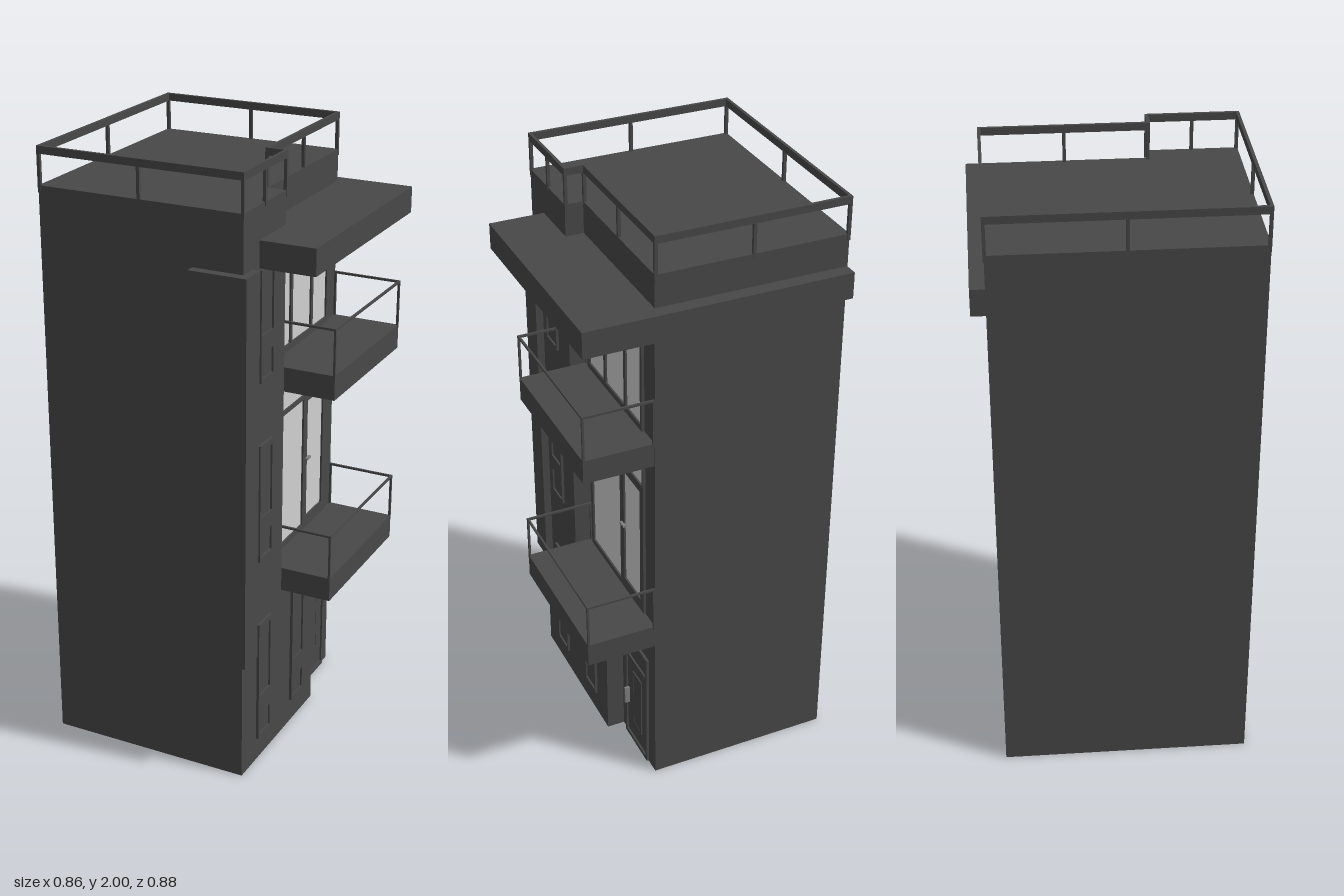
import * as THREE from 'three';

const mat = (name, color, side = THREE.FrontSide) => {
  const m = new THREE.MeshStandardMaterial({ color, side });
  m.name = name;
  return m;
};

export function createModel() {
  const wall = mat('charcoal wall', 0x484848);
  const glass = mat('pale glass', 0xd0d0d0);
  const metal = mat('grey handle metal', 0x808080);
  const model = new THREE.Group();
  model.name = 'towerHouse';

  const add = (parent, name, geo, material) => {
    const m = new THREE.Mesh(geo, material);
    m.name = name;
    parent.add(m);
    return m;
  };
  const group = (name) => {
    const g = new THREE.Group();
    g.name = name;
    model.add(g);
    return g;
  };
  // Box given by its limits on each axis
  const box = (parent, name, [x0, x1], [y0, y1], [z0, z1], material = wall) =>
    add(parent, name, new THREE.BoxGeometry(x1 - x0, y1 - y0, z1 - z0), material)
      .position.set((x0 + x1) / 2, (y0 + y1) / 2, (z0 + z1) / 2);
  // Square or flat bar between two points
  const bar = (parent, name, a, b, w, h) => {
    const p = new THREE.Vector3(...a), q = new THREE.Vector3(...b);
    const m = add(parent, name, new THREE.BoxGeometry(w, h, p.distanceTo(q) + w), wall);
    m.position.copy(p).lerp(q, 0.5);
    m.lookAt(q);
  };

  // Storeys: floor plan with a notch at the back of the left side
  const storey = (name, y0, y1, notchZ) => {
    const plan = [[-0.43, 0.41], [0.25, 0.41], [0.25, notchZ], [0.19, notchZ], [0.19, -0.395], [-0.43, -0.395]];
    const shape = new THREE.Shape(plan.map(([x, z]) => new THREE.Vector2(x, -z)));
    const geo = new THREE.ExtrudeGeometry(shape, { depth: y1 - y0, bevelEnabled: false });
    geo.rotateX(-Math.PI / 2);
    add(model, name, geo, wall).position.y = y0;
  };
  storey('groundStorey', 0, 0.56, -0.13);
  storey('upperStoreys', 0.56, 1.88, 0.125);

  // Canopy and corner panel
  box(model, 'canopy', [-0.429, 0.43], [1.69, 1.775], [-0.44, 0.305]);
  box(model, 'cornerPanel', [0.085, 0.275], [0.42, 1.7], [0.35, 0.44]);

  // Balconies with thin railings
  for (const y of [0.545, 1.24]) {
    const g = group('balcony');
    box(g, 'balconySlab', [0.185, 0.42], [y, y + 0.08], [-0.394, 0.125]);
    const top = y + 0.228, f = 0.417, n = 0.122, b = -0.392;
    bar(g, 'balconyRail', [f, top, n], [f, top, b], 0.007, 0.007);
    for (const z of [n, b]) {
      bar(g, 'balconyRail', [0.193, top, z], [f, top, z], 0.007, 0.007);
      for (const x of [0.193, f])
        box(g, 'balconyPost', [x - 0.0035, x + 0.0035], [y + 0.07, top], [z - 0.0035, z + 0.0035]);
    }
  }

  // Roof railing following the plan, with a post at each corner and mid-span
  const railing = group('roofRailing');
  const path = [[-0.427, 0.406], [0.247, 0.406], [0.247, 0.123], [0.186, 0.123], [0.186, -0.393], [-0.427, -0.393]];
  const post = (x, z, y0) =>
    box(railing, 'roofPost', [x - 0.005, x + 0.005], [y0, 1.98], [z - 0.005, z + 0.005]);
  path.forEach(([x, z], i) => {
    const [x2, z2] = path[(i + 1) % path.length];
    bar(railing, 'roofRail', [x, 1.988, z], [x2, 1.988, z2], 0.01, 0.024);
    post(x, z, 1.86);
    if (Math.hypot(x2 - x, z2 - z) > 0.1) post((x + x2) / 2, (z + z2) / 2, 1.87);
  });

  // Framed opening on a wall facing +x; rectangles are [zLeft, zRight, y0, y1]
  const trace = (path, [z0, z1, y0, y1]) => {
    path.moveTo(-z0, y0);
    path.lineTo(-z1, y0);
    path.lineTo(-z1, y1);
    path.lineTo(-z0, y1);
    path.closePath();
    return path;
  };
  const frame = (parent, name, x, outer, panes, paneMaterial, depth = 0.009) => {
    const shape = trace(new THREE.Shape(), outer);
    for (const p of panes) shape.holes.push(trace(new THREE.Path(), p));
    const geo = new THREE.ExtrudeGeometry(shape, { depth, bevelEnabled: false });
    geo.rotateY(Math.PI / 2);
    add(parent, name, geo, wall).position.x = x;
    for (const [z0, z1, y0, y1] of panes)
      box(parent, name + 'Pane', [x - 0.002, x + 0.003], [y0, y1], [z1, z0], paneMaterial);
  };

  // Narrow two-part windows
  const narrow = [
    [0.305, 0.08, 0.17, 0.24, 0.505], [0.05, 0.085, 0.17, 0.24, 0.505],
    [0.305, 0.73, 0.825, 0.88, 1.125], [0.305, 1.33, 1.425, 1.48, 1.685],
  ];
  const narrowWindows = group('narrowWindows');
  for (const [z, y0, a, b, y1] of narrow)
    frame(narrowWindows, 'narrowWindow', 0.25, [z, z - 0.09, y0, y1],
      [[z - 0.007, z - 0.083, y0 + 0.012, a], [z - 0.007, z - 0.083, b, y1 - 0.02]], wall);

  // Large glazing above the lower balcony, with a balcony door
  const lower = group('balconyGlazing');
  frame(lower, 'glazingFrame', 0.19, [0.1, -0.325, 0.63, 1.235], [
    [0.085, -0.145, 1.12, 1.22], [-0.16, -0.315, 1.12, 1.22],
    [0.085, -0.145, 0.65, 1.105], [-0.175, -0.3, 0.67, 1.09]], glass);
  box(lower, 'balconyDoorHandle', [0.197, 0.208], [0.882, 0.889], [-0.19, -0.16], metal);

  // Three-pane window above the upper balcony
  frame(group('upperWindow'), 'upperWindowFrame', 0.19, [0.1, -0.32, 1.32, 1.675], [
    [0.085, -0.03, 1.34, 1.66], [-0.045, -0.185, 1.34, 1.66], [-0.2, -0.307, 1.34, 1.66]], glass);

  // Entrance door with transom, inset panel and pull handle
  const door = group('entranceDoor');
  frame(door, 'doorFrame', 0.19, [-0.17, -0.345, 0.005, 0.445],
    [[-0.18, -0.335, 0.365, 0.435], [-0.18, -0.335, 0.02, 0.352]], wall);
  frame(door, 'doorInset', 0.193, [-0.225, -0.295, 0.08, 0.31], [[-0.235, -0.285, 0.09, 0.3]], wall, 0.004);
  box(door, 'doorHandle', [0.193, 0.21], [0.145, 0.21], [-0.192, -0.184], metal);

  return model;
}
